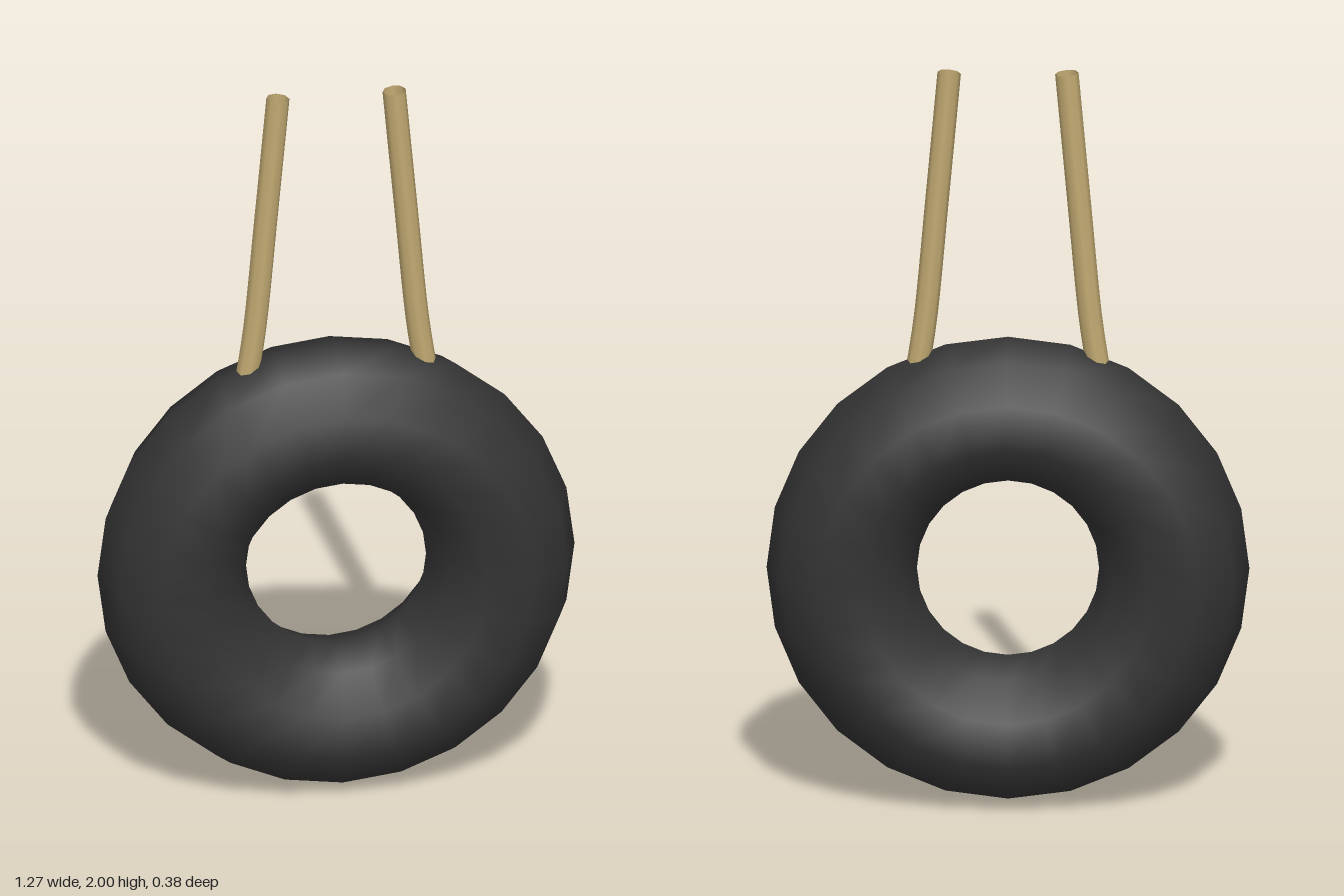
import * as THREE from 'three';

export function createModel() {
  const group = new THREE.Group();
  group.name = 'tireSwing';

  const rubber = new THREE.MeshStandardMaterial({ color: 0x333333 });
  rubber.name = 'dark rubber';
  const hemp = new THREE.MeshStandardMaterial({ color: 0xc2aa72, side: THREE.DoubleSide });
  hemp.name = 'hemp rope';

  // Tire: upright ring facing the front
  const tire = new THREE.Mesh(new THREE.TorusGeometry(0.438, 0.198, 10, 24), rubber);
  tire.name = 'tire';
  tire.position.y = 0.638;
  group.add(tire);

  // Ropes: mirrored pair, bending outward as they enter the tire
  for (const [side, name] of [[1, 'leftRope'], [-1, 'rightRope']]) {
    const path = new THREE.CatmullRomCurve3(
      [[0.155, 2], [0.187, 1.65], [0.217, 1.33], [0.236, 1.2], [0.25, 1.12]]
        .map(([x, y]) => new THREE.Vector3(side * x, y, 0))
    );
    const rope = new THREE.Mesh(new THREE.TubeGeometry(path, 16, 0.031, 8), hemp);
    rope.name = name;
    group.add(rope);
  }

  return group;
}
